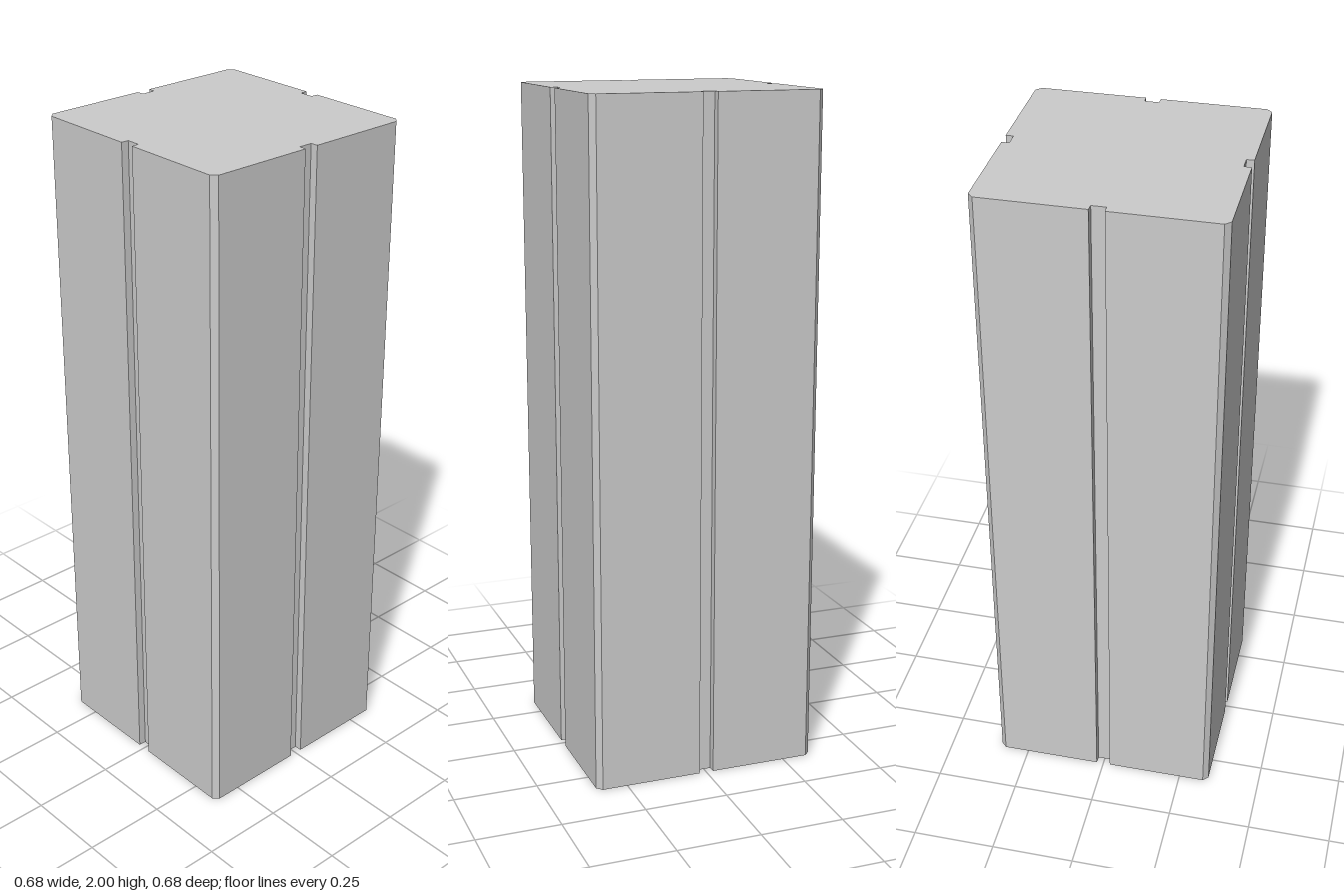
import * as THREE from 'three';

const HEIGHT = 2;
const HALF = 0.342;      // half the column width
const CHAMFER = 0.016;   // corner bevel
const GROOVE = 0.0215;   // half the groove width at the face
const FLOOR = 0.0205;    // half the groove width at its floor
const DEPTH = 0.022;     // groove depth

export function createModel() {
  const group = new THREE.Group();
  group.name = 'groovedColumn';

  // One side of the cross-section: bevel end, groove, bevel start
  const side = [
    [HALF, -HALF + CHAMFER],
    [HALF, -GROOVE],
    [HALF - DEPTH, -FLOOR],
    [HALF - DEPTH, FLOOR],
    [HALF, GROOVE],
    [HALF, HALF - CHAMFER],
  ];

  // Repeat the side around all four faces
  const outline = [];
  for (let i = 0; i < 4; i++) {
    for (const [x, y] of side) {
      outline.push(new THREE.Vector2(x, y).rotateAround(new THREE.Vector2(), i * Math.PI / 2));
    }
  }

  // Extrude the cross-section upwards
  const geometry = new THREE.ExtrudeGeometry(new THREE.Shape(outline), { depth: HEIGHT, bevelEnabled: false });
  geometry.rotateX(-Math.PI / 2);

  const material = new THREE.MeshStandardMaterial({ color: 0xcccccc, flatShading: true });
  const column = new THREE.Mesh(geometry, material);
  column.name = 'columnShaft';
  group.add(column);
  return group;
}
